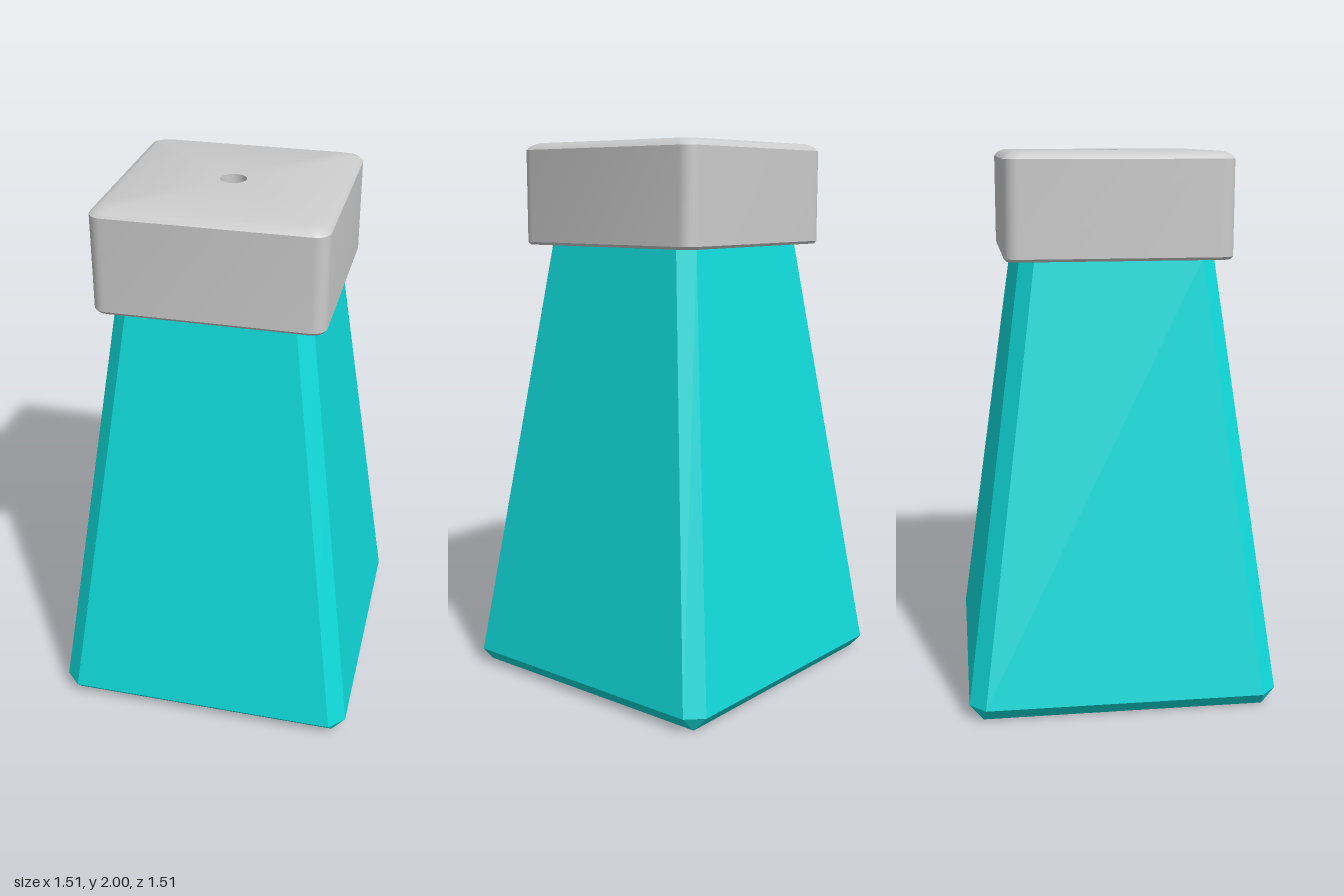
import * as THREE from 'three';
import { toCreasedNormals } from 'three/addons/utils/BufferGeometryUtils.js';

// Outline of a square (half side a) whose corners are cut with radius r in n steps
function outline([y, a, r], n) {
  const points = [];
  for (let corner = 0; corner < 4; corner++) {
    const start = corner * Math.PI / 2;
    const mid = start + Math.PI / 4;
    const reach = (a - r) * Math.SQRT2;
    for (let i = 0; i <= n; i++) {
      const t = start + (i / n) * Math.PI / 2;
      points.push([
        Math.cos(mid) * reach + Math.cos(t) * r,
        y,
        Math.sin(mid) * reach + Math.sin(t) * r,
      ]);
    }
  }
  return points;
}

// Skin a stack of [y, halfSide, cornerRadius] sections, corners pointing along x and z
function loft(sections, n, crease) {
  const position = [];
  const index = [];
  const count = 4 * (n + 1);
  sections.forEach((s) => outline(s, n).forEach((p) => position.push(...p)));
  for (let s = 0; s < sections.length - 1; s++) {
    for (let i = 0; i < count; i++) {
      const a = s * count + i;
      const b = s * count + (i + 1) % count;
      index.push(a, a + count, b, b, a + count, b + count);
    }
  }
  const geometry = new THREE.BufferGeometry();
  geometry.setAttribute('position', new THREE.Float32BufferAttribute(position, 3));
  geometry.setIndex(index);
  geometry.rotateY(Math.PI / 4);
  return toCreasedNormals(geometry, crease);
}

export function createModel() {
  const model = new THREE.Group();

  // Tapered body with chamfered edges, closed at both ends
  const body = new THREE.Mesh(
    loft([
      [0, 0, 0],
      [0, 0.513, 0],
      [0.055, 0.5625, 0.057],
      [1.63, 0.347, 0.05],
      [1.63, 0, 0],
    ], 1, 0.1),
    new THREE.MeshStandardMaterial({ color: 0x10dcdc, flatShading: true })
  );
  body.name = 'taperedBody';
  model.add(body);

  // Rounded cap with a round hole through its middle
  const hole = 0.047;
  const cap = new THREE.Mesh(
    loft([
      [1.63, hole, hole],
      [1.63, 0.394, 0.045],
      [1.64, 0.402, 0.05],
      [1.975, 0.402, 0.05],
      [1.99, 0.39, 0.05],
      [2, 0.365, 0.04],
      [2, hole, hole],
      [1.63, hole, hole],
    ], 6, 0.6),
    new THREE.MeshStandardMaterial({ color: 0xcccccc })
  );
  cap.name = 'cap';
  model.add(cap);

  return model;
}
